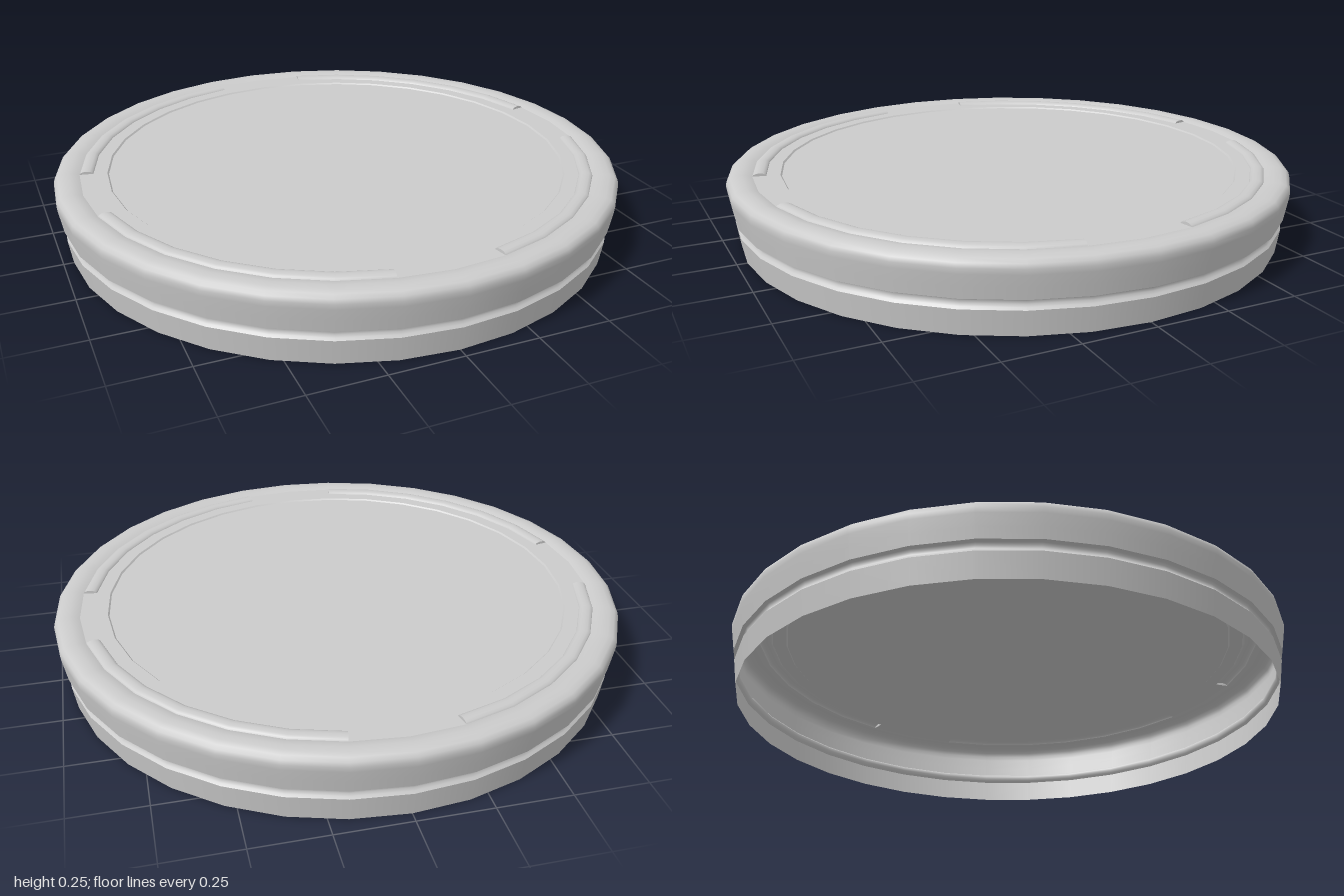
import * as THREE from 'three';

const SIDES = 32;
const STEP = (Math.PI * 2) / SIDES;
const material = new THREE.MeshStandardMaterial({ color: 0xcccccc, side: THREE.DoubleSide });

function addMesh(parent, name, geometry) {
  const mesh = new THREE.Mesh(geometry, material);
  mesh.name = name;
  parent.add(mesh);
  return mesh;
}

const toPoints = (pairs) => pairs.map(([r, y]) => new THREE.Vector2(r, y));

// Revolved strip covering `count` of the 32 sides, starting at side `first`
function addStrip(parent, name, pairs, first = 0, count = SIDES) {
  const geometry = new THREE.LatheGeometry(toPoints(pairs), count, first * STEP, count * STEP);
  return addMesh(parent, name, geometry);
}

export function createModel() {
  const lid = new THREE.Group();
  lid.name = 'lid';

  // Thin open skirt, slightly flared
  addStrip(lid, 'skirt', [[0.965, 0], [0.978, 0.085]]);

  // Narrow groove between the skirt and the rim
  addStrip(lid, 'sideGroove', [
    [0.978, 0.085], [0.972, 0.092], [0.967, 0.1], [0.967, 0.11], [0.972, 0.117], [0.984, 0.12],
  ]);

  // Rounded rim, rolling over to the top
  addStrip(lid, 'rim', [
    [0.984, 0.12], [0.991, 0.16], [0.998, 0.2], [1, 0.218], [0.996, 0.233],
    [0.985, 0.243], [0.967, 0.249], [0.945, 0.25], [0.926, 0.248], [0.91, 0.242],
  ]);

  // Ring with four raised ribs, each six sides long, and two-sided gaps between
  const inner = 0.863, outer = 0.91, base = 0.242;
  const ribProfile = [[outer, base]];
  for (let i = 1; i < 6; i++) {
    const a = (Math.PI * i) / 6;
    ribProfile.push([
      (inner + outer) / 2 + Math.cos(a) * (outer - inner) / 2,
      base + Math.sin(a) * 0.01,
    ]);
  }
  ribProfile.push([inner, base]);

  for (let q = 0; q < 4; q++) {
    const rib = new THREE.Group();
    rib.name = 'rib';
    lid.add(rib);
    addStrip(rib, 'ribTop', ribProfile, q * 8 + 1, 6);
    for (const side of [1, 7]) {
      const cap = addMesh(rib, 'ribEnd', new THREE.ShapeGeometry(new THREE.Shape(toPoints(ribProfile))));
      cap.rotation.y = (q * 8 + side) * STEP - Math.PI / 2;
    }
    addStrip(lid, 'ringGap', [[outer, base], [inner, base]], q * 8 - 1, 2);
  }

  // Inner ring and the slightly sunken centre panel
  addStrip(lid, 'innerRing', [[inner, base], [0.815, base]]);
  addStrip(lid, 'panelStep', [[0.815, base], [0.81, 0.237]]);
  const panel = addMesh(lid, 'panel', new THREE.CircleGeometry(0.81, SIDES));
  panel.rotation.x = -Math.PI / 2;
  panel.position.y = 0.237;

  return lid;
}
